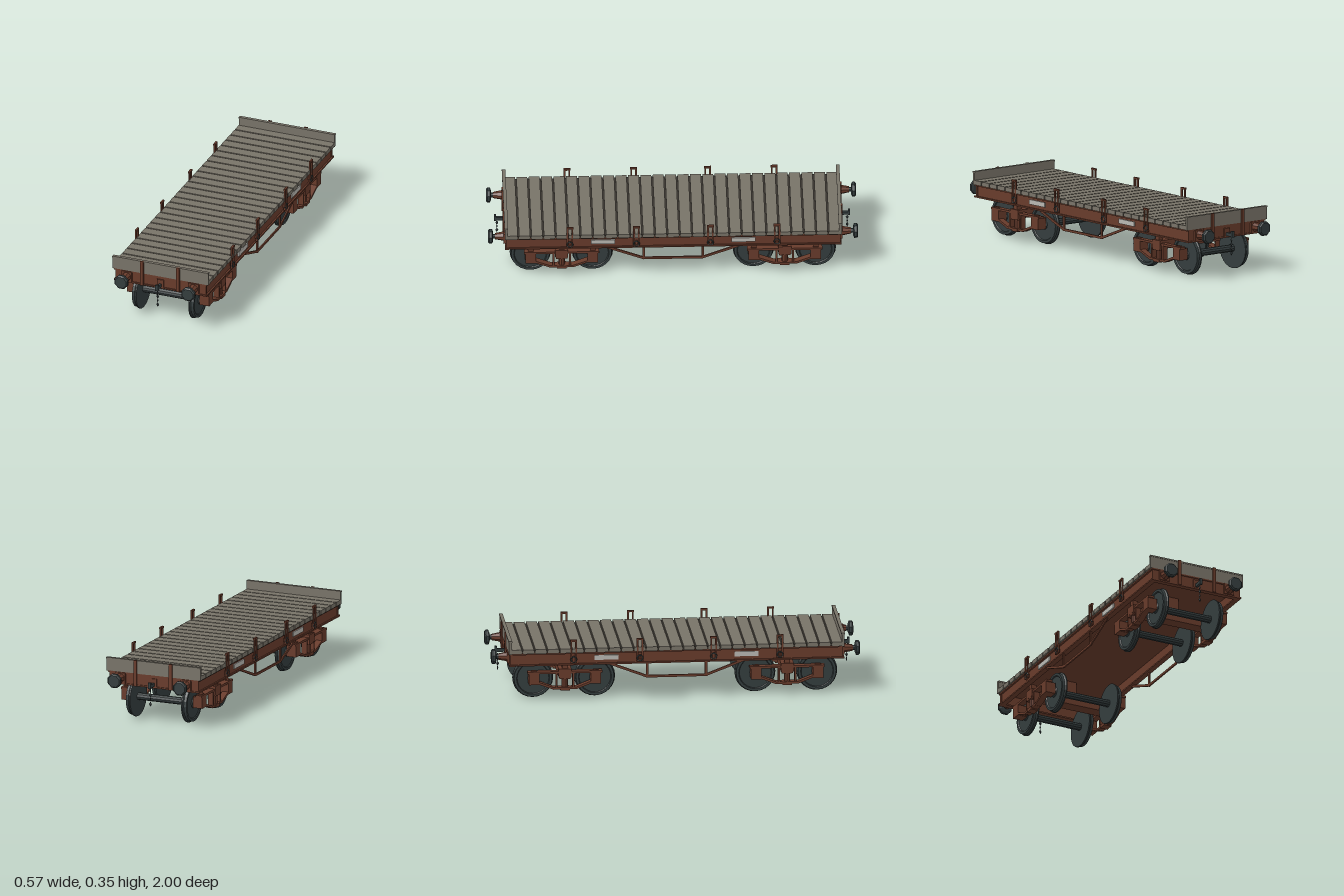
import * as THREE from 'three';

const mat = (name, color) => {
  const m = new THREE.MeshStandardMaterial({ color });
  m.name = name;
  return m;
};

export function createModel() {
  const rust = mat('rust brown', 0x683b2b);
  const wood = mat('weathered wood', 0x787368);
  const gap = mat('plank gap', 0x37332d);
  const steel = mat('dark steel', 0x343d3e);
  const plate = mat('pale plate', 0xb9b8b2);
  rust.flatShading = steel.flatShading = true;

  const model = new THREE.Group();
  model.name = 'flatWagon';

  const add = (parent, name, geo, m, x = 0, y = 0, z = 0) => {
    const mesh = new THREE.Mesh(geo, m);
    mesh.name = name;
    mesh.position.set(x, y, z);
    parent.add(mesh);
    return mesh;
  };
  const box = (parent, name, m, w, h, d, x, y, z) =>
    add(parent, name, new THREE.BoxGeometry(w, h, d), m, x, y, z);
  const group = (name, parent = model) => {
    const g = new THREE.Group();
    g.name = name;
    parent.add(g);
    return g;
  };
  // Square bar between two points of the y-z plane
  const bar = (parent, name, x, y1, z1, y2, z2, w = 0.008, t = 0.013) => {
    const b = box(parent, name, rust, w, t, Math.hypot(y2 - y1, z2 - z1) + t * 0.5,
      x, (y1 + y2) / 2, (z1 + z2) / 2);
    b.rotation.x = -Math.atan2(y2 - y1, z2 - z1);
    return b;
  };

  // Deck planks over a dark base
  const deck = group('deck');
  box(deck, 'deckBase', gap, 0.55, 0.012, 1.8, 0, 0.285, 0);
  const planks = 27, pitch = 1.81 / planks;
  for (let i = 0; i < planks; i++) {
    box(deck, 'plank', wood, 0.56, 0.024, pitch - 0.008, 0, 0.288, -0.905 + (i + 0.5) * pitch);
  }

  // Underframe: floor, channel sole bars, headstocks
  const frame = group('underframe');
  box(frame, 'floorPlate', rust, 0.52, 0.01, 1.8, 0, 0.272, 0);
  for (const s of [-1, 1]) {
    box(frame, 'soleBarWeb', rust, 0.012, 0.07, 1.8, s * 0.256, 0.242, 0);
    box(frame, 'soleBarTop', rust, 0.03, 0.008, 1.81, s * 0.256, 0.272, 0);
    box(frame, 'soleBarBottom', rust, 0.03, 0.008, 1.81, s * 0.256, 0.209, 0);
    box(frame, 'headstockWeb', rust, 0.53, 0.07, 0.014, 0, 0.241, s * 0.897);
    box(frame, 'headstockTop', rust, 0.54, 0.008, 0.03, 0, 0.272, s * 0.895);
    box(frame, 'headstockBottom', rust, 0.542, 0.008, 0.03, 0, 0.209, s * 0.895);

    // Truss rods
    const rod = (y1, z1, y2, z2) => bar(frame, 'trussRod', s * 0.26, y1, z1, y2, z2);
    rod(0.13, -0.16, 0.13, 0.16);
    for (const e of [-1, 1]) {
      rod(0.13, e * 0.16, 0.207, e * 0.36);
      box(frame, 'trussPost', rust, 0.008, 0.085, 0.013, s * 0.26, 0.167, e * 0.16);
      box(frame, 'sidePlate', plate, 0.008, 0.026, 0.13, s * 0.265, 0.244, e * 0.38);
    }

    // Looped side stakes with retaining rings
    for (const z of [-0.56, -0.2, 0.2, 0.56]) {
      const stake = group('sideStake');
      stake.position.set(s * 0.279, 0, z);
      for (const e of [-1, 1]) box(stake, 'stakeLeg', rust, 0.008, 0.125, 0.009, 0, 0.283, e * 0.013);
      box(stake, 'stakeTop', rust, 0.011, 0.01, 0.037, 0, 0.345, 0);
      box(stake, 'stakeFoot', rust, 0.01, 0.012, 0.034, 0, 0.226, 0);
      const ring = add(stake, 'stakeRing', new THREE.TorusGeometry(0.0155, 0.004, 6, 12), steel, s * 0.003, 0.24, 0);
      ring.rotation.y = Math.PI / 2;
      box(stake, 'stakeBracket', rust, 0.016, 0.02, 0.012, s * -0.006, 0.24, 0);
    }
  }

  // End boards, buffers and couplings, same at both ends
  const buildEnd = () => {
    const end = group('wagonEnd');
    box(end, 'endBoard', wood, 0.56, 0.066, 0.014, 0, 0.308, 0.903);
    box(end, 'endBoardCap', wood, 0.56, 0.008, 0.019, 0, 0.345, 0.903);
    for (const s of [-1, 1]) {
      box(end, 'endStanchion', rust, 0.018, 0.145, 0.008, s * 0.105, 0.279, 0.915);
      const buffer = group('buffer', end);
      buffer.position.set(s * 0.195, 0.243, 0);
      box(buffer, 'bufferBase', rust, 0.06, 0.06, 0.012, 0, 0, 0.91);
      const turn = (name, r1, r2, z1, z2, m) => {
        const g = new THREE.CylinderGeometry(r2, r1, z2 - z1, 8);
        g.rotateY(Math.PI / 8).rotateX(Math.PI / 2);
        add(buffer, name, g, m, 0, 0, (z1 + z2) / 2);
      };
      turn('bufferHousing', 0.026, 0.017, 0.915, 0.962, rust);
      turn('bufferShank', 0.013, 0.013, 0.96, 0.977, steel);
      turn('bufferFlare', 0.026, 0.041, 0.973, 0.979, steel);
      turn('bufferHead', 0.041, 0.041, 0.979, 0.993, steel);
      turn('bufferFace', 0.041, 0.034, 0.993, 1.0, steel);
    }
    // Draw hook and hanging chain
    box(end, 'hookPlate', rust, 0.04, 0.045, 0.008, 0, 0.235, 0.907);
    box(end, 'hookShank', steel, 0.014, 0.018, 0.05, 0, 0.225, 0.93);
    box(end, 'hookTip', steel, 0.016, 0.034, 0.012, 0, 0.23, 0.957);
    [0.197, 0.174, 0.15, 0.125].forEach((y, i) => {
      const link = add(end, 'chainLink', new THREE.OctahedronGeometry(0.014), steel, 0, y, 0.947);
      link.scale.set(i % 2 ? 0.6 : 0.3, 1, i % 2 ? 0.3 : 0.6);
    });
    return end;
  };
  buildEnd();
  buildEnd().rotation.y = Math.PI;

  // Wheel turned about x, flange on the inner face
  const wheelGeo = new THREE.LatheGeometry([
    [0, 0.152], [0.111, 0.152], [0.111, 0.159], [0.105, 0.165], [0.104, 0.18],
    [0.09, 0.18], [0.086, 0.175], [0.03, 0.175], [0.026, 0.182], [0, 0.182],
  ].map(([r, x]) => new THREE.Vector2(r, x)), 24);
  wheelGeo.rotateZ(-Math.PI / 2);

  // Bogies
  for (const zb of [-0.603, 0.603]) {
    const bogie = group('bogie');
    bogie.position.z = zb;
    box(bogie, 'bolster', rust, 0.49, 0.047, 0.07, 0, 0.154, 0);
    box(bogie, 'pivot', rust, 0.06, 0.095, 0.06, 0, 0.222, 0);
    for (const za of [-0.168, 0.168]) {
      const axle = new THREE.CylinderGeometry(0.02, 0.02, 0.36, 10);
      axle.rotateZ(Math.PI / 2);
      add(bogie, 'axle', axle, steel, 0, 0.112, za);
      for (const s of [-1, 1]) {
        const wheel = add(bogie, 'wheel', wheelGeo, steel, 0, 0.112, za);
        if (s < 0) wheel.rotation.y = Math.PI;
        box(bogie, 'axleBox', rust, 0.056, 0.062, 0.056, s * 0.212, 0.121, za);
        box(bogie, 'axleBoxLid', rust, 0.018, 0.016, 0.03, s * 0.222, 0.16, za);
      }
    }
    for (const s of [-1, 1]) {
      const x = s * 0.222;
      bar(bogie, 'sideFrameTop', x, 0.157, -0.2, 0.157, 0.2, 0.036, 0.012);
      bar(bogie, 'sideFrameBottom', x, 0.068, -0.062, 0.068, 0.062, 0.036, 0.012);
      for (const e of [-1, 1]) {
        bar(bogie, 'sideFrameBrace', x, 0.068, e * 0.062, 0.1, e * 0.145, 0.036, 0.012);
        box(bogie, 'sideFramePost', rust, 0.032, 0.09, 0.01, x, 0.11, e * 0.045);
      }
      // Central spring between stepped seats
      box(bogie, 'springSeat', rust, 0.044, 0.018, 0.05, x, 0.065, 0);
      add(bogie, 'spring', new THREE.CylinderGeometry(0.017, 0.017, 0.06, 8), rust, x, 0.103, 0);
      box(bogie, 'springCap', rust, 0.044, 0.014, 0.06, x, 0.128, 0);
      box(bogie, 'sideBearer', rust, 0.03, 0.04, 0.03, x, 0.19, 0);
    }
  }
  return model;
}
